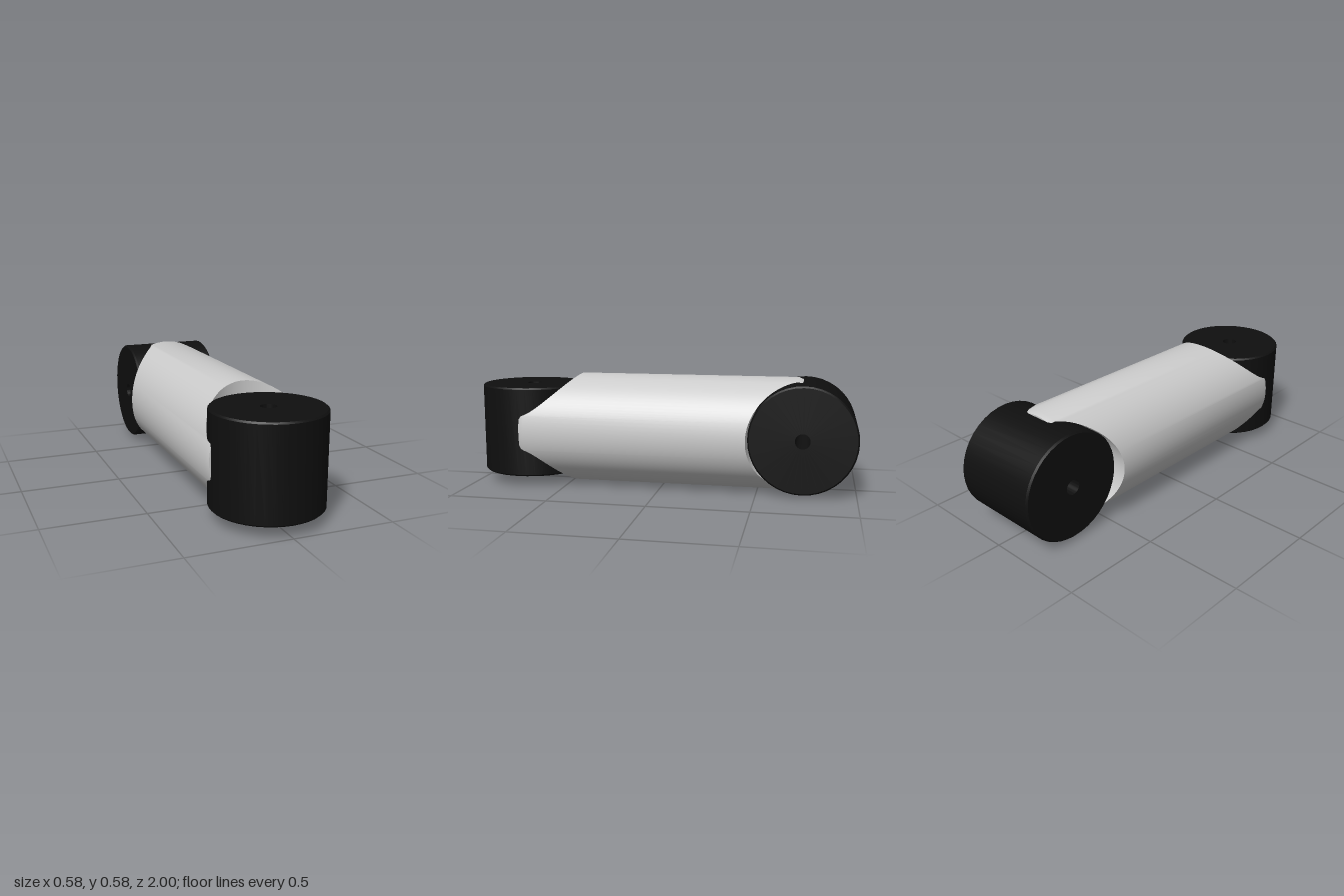
import * as THREE from 'three';
import { toCreasedNormals } from 'three/addons/utils/BufferGeometryUtils.js';

const R = 0.29;        // link radius
const CUT = 0.277;     // radius of the saddle cuts
const PIVOT = 0.728;   // distance of each joint axis from the middle
const TIP = 0.72;      // furthest reach of the link

// Angles round the link, clustered where the saddles run out at the sides
function linkAngles() {
  const a = Math.acos(CUT / R), quarter = [];
  for (let i = 0; i < 4; i++) quarter.push(a * i / 4);
  for (let i = 0; i < 20; i++) {
    quarter.push(a + (Math.PI / 2 - 2 * a) * (0.5 - 0.5 * Math.cos(Math.PI * i / 20)));
  }
  for (let i = 0; i < 4; i++) quarter.push(Math.PI / 2 - a + a * i / 4);
  return [0, 1, 2, 3].flatMap(q => quarter.map(t => t + q * Math.PI / 2));
}

// Round bar along z: the front is hollowed by a vertical saddle, the back by a sideways one
function linkGeometry() {
  const angles = linkAngles(), n = angles.length;
  const saddle = d => Math.min(TIP, PIVOT - Math.sqrt(Math.max(0, CUT * CUT - d * d)));
  const columns = angles.map(t => {
    const front = saddle(R * Math.cos(t)), back = -saddle(R * Math.sin(t));
    return [back, Math.max(back, -0.695), Math.min(front, 0.695), front].map(z => {
      const r = R - Math.max(0, Math.abs(z) - 0.695) * 0.4;   // slight bevel at the tips
      return [r * Math.cos(t), r * Math.sin(t), z];
    });
  });
  const at = (i, row) => columns[((i % n) + n) % n][row];
  const pos = [];
  const quad = (a, b, c, d) => pos.push(...a, ...b, ...c, ...a, ...c, ...d);
  // outer wall
  for (let i = 0; i < n; i++) {
    for (let k = 0; k < 3; k++) quad(at(i, k), at(i + 1, k), at(i + 1, k + 1), at(i, k + 1));
  }
  // front saddle, ruled vertically
  for (let i = 0; i < n / 2; i++) quad(at(i, 3), at(i + 1, 3), at(-i - 1, 3), at(-i, 3));
  // back saddle, ruled sideways
  for (let i = -n / 4; i < n / 4; i++) {
    quad(at(i, 0), at(n / 2 - i, 0), at(n / 2 - i - 1, 0), at(i + 1, 0));
  }
  const g = new THREE.BufferGeometry();
  g.setAttribute('position', new THREE.Float32BufferAttribute(pos, 3));
  return toCreasedNormals(g, 0.6);
}

// Bevelled drum with a pin hole through its axis
function jointGeometry() {
  const r = 0.272, h = 0.232, b = 0.008, hole = 0.038;
  const profile = [
    [hole, -h], [r - b, -h], [r, -h + b], [r, h - b], [r - b, h], [hole, h], [hole, -h],
  ].map(p => new THREE.Vector2(...p));
  return toCreasedNormals(new THREE.LatheGeometry(profile, 40).toNonIndexed(), 0.5);
}

export function createModel() {
  const model = new THREE.Group();
  model.name = 'jointedLink';
  const grey = new THREE.MeshStandardMaterial({ color: 0xcccccc });
  const black = new THREE.MeshStandardMaterial({ color: 0x0f0f0f });

  const add = (name, geometry, material, z) => {
    const mesh = new THREE.Mesh(geometry, material);
    mesh.name = name;
    mesh.position.set(0, R, z);
    model.add(mesh);
    return mesh;
  };

  add('linkBody', linkGeometry(), grey, 0);
  const joint = jointGeometry();
  add('frontJoint', joint, black, PIVOT);                             // upright axis
  add('backJoint', joint, black, -PIVOT).rotation.z = Math.PI / 2;    // sideways axis
  return model;
}
